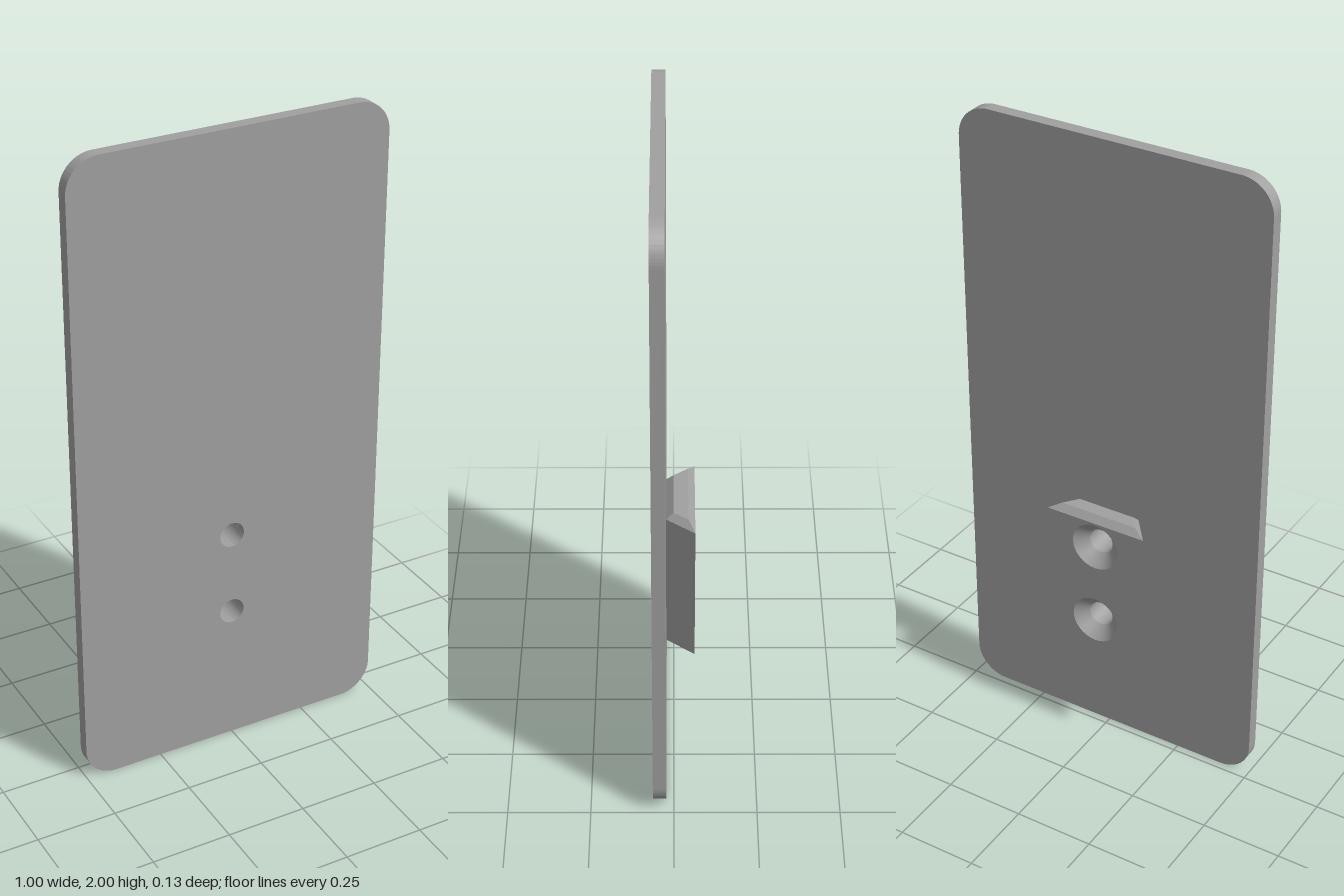
import * as THREE from 'three';
import { toCreasedNormals } from 'three/addons/utils/BufferGeometryUtils.js';

const FRONT = 0.063, SEAM = 0.023, BACK = -0.063; // z levels
const HOLES_Y = [0.45, 0.72];
const BORE = 0.04, SINK = 0.077, SINK_Z = -0.026, SEGMENTS = 32;

function addHoles(shape, radius) {
  for (const y of HOLES_Y) {
    shape.holes.push(new THREE.Path().absarc(0, y, radius, 0, Math.PI * 2, true));
  }
  return shape;
}

// Rounded upright plate with two through holes
function plateGeometry() {
  const w = 0.5, h = 2, r = 0.1, s = new THREE.Shape();
  s.absarc(w - r, r, r, -Math.PI / 2, 0, false);
  s.absarc(w - r, h - r, r, 0, Math.PI / 2, false);
  s.absarc(-w + r, h - r, r, Math.PI / 2, Math.PI, false);
  s.absarc(-w + r, r, r, Math.PI, Math.PI * 1.5, false);
  const g = new THREE.ExtrudeGeometry(addHoles(s, BORE), {
    depth: FRONT - SEAM, bevelEnabled: false, curveSegments: SEGMENTS,
  });
  return toCreasedNormals(g.translate(0, 0, SEAM), 0.6);
}

// Dovetail body from three stacked trapezoids, the last one inset as a chamfer
function dovetailGeometry(low, edge, top) {
  const trapezoid = (y, wFront, zFront, wBack, zBack) => [
    [-wFront, y, zFront], [wFront, y, zFront], [wBack, y, zBack], [-wBack, y, zBack],
  ];
  const rings = [
    trapezoid(low, 0.099, SEAM, 0.166, BACK),
    trapezoid(edge, 0.099, SEAM, 0.166, BACK),
    trapezoid(top, 0.0925, 0.001, 0.126, -0.043),
  ];
  const pos = [];
  const quad = (a, b, c, d) => pos.push(...a, ...b, ...c, ...a, ...c, ...d);
  for (let k = 0; k < 2; k++) {
    for (let i = 0; i < 4; i++) {
      if (k === 0 && i % 2 === 0) continue; // seam and drilled face
      const j = (i + 1) % 4;
      quad(rings[k][i], rings[k][j], rings[k + 1][j], rings[k + 1][i]);
    }
  }
  quad(...rings[2]);
  quad(...rings[0].slice().reverse());
  const g = new THREE.BufferGeometry();
  g.setAttribute('position', new THREE.Float32BufferAttribute(pos, 3));
  g.computeVertexNormals();
  return g;
}

// Inward-facing wall of revolution along z, from front to back
function holeWall(r1, z1, r2, z2) {
  const points = [new THREE.Vector2(r1, z1), new THREE.Vector2(r2, z2)];
  return new THREE.LatheGeometry(points, SEGMENTS).rotateX(Math.PI / 2);
}

export function createModel() {
  const model = new THREE.Group();
  model.name = 'mountingPlate';
  const grey = new THREE.MeshStandardMaterial({ color: 0xa0a0a0 });
  grey.name = 'grey';
  const add = (parent, name, geometry, y = 0) => {
    const mesh = new THREE.Mesh(geometry, grey);
    mesh.name = name;
    mesh.position.y = y;
    parent.add(mesh);
  };

  add(model, 'plate', plateGeometry());

  // Dovetail block on the back
  const block = new THREE.Group();
  block.name = 'dovetailBlock';
  model.add(block);
  const low = 0.338, edge = 0.804, top = 0.824;
  add(block, 'blockBody', dovetailGeometry(low, edge, top));

  // Drilled rear face
  const face = new THREE.Shape([
    new THREE.Vector2(-0.166, low), new THREE.Vector2(0.166, low),
    new THREE.Vector2(0.166, edge), new THREE.Vector2(-0.166, edge),
  ]);
  const rear = new THREE.ShapeGeometry(addHoles(face, SINK), SEGMENTS);
  add(block, 'blockRearFace', rear.rotateY(Math.PI).translate(0, 0, BACK));

  // Countersunk screw holes
  for (const y of HOLES_Y) {
    add(block, 'screwBore', holeWall(BORE, SEAM, BORE, SINK_Z), y);
    add(block, 'countersink', holeWall(BORE, SINK_Z, SINK, BACK), y);
  }
  return model;
}
